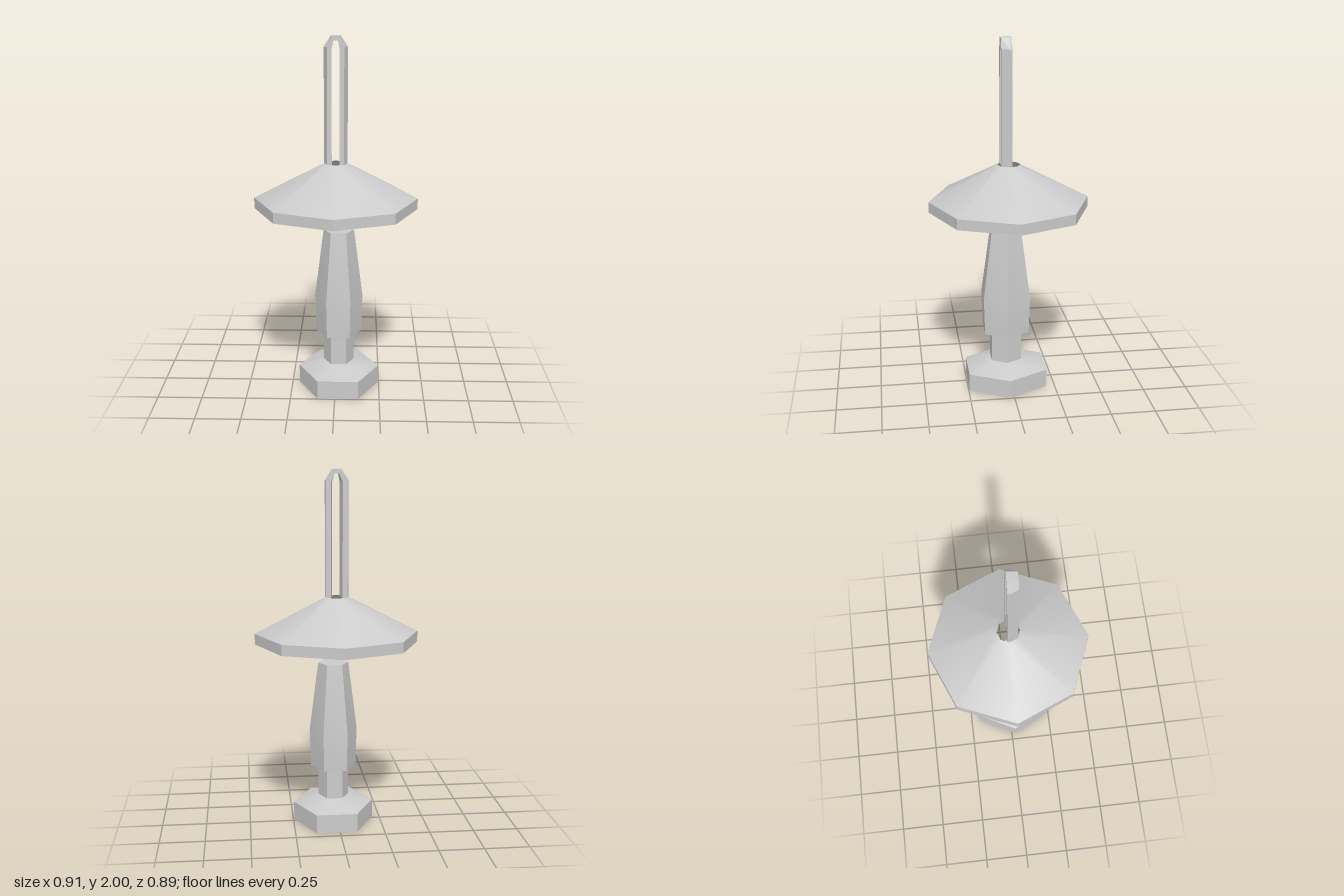
import * as THREE from 'three';
import { toCreasedNormals } from 'three/addons/utils/BufferGeometryUtils.js';

const grey = new THREE.MeshStandardMaterial({ color: 0xcccccc });
const greyFlat = new THREE.MeshStandardMaterial({ color: 0xcccccc, flatShading: true });

// Faceted turned part from [radius, height] pairs, sharp at its corners
function turned(name, profile, sides) {
  const points = profile.map(([r, y]) => new THREE.Vector2(r, y));
  const lathe = new THREE.LatheGeometry(points, sides, Math.PI / 2);
  const mesh = new THREE.Mesh(toCreasedNormals(lathe, Math.PI / 6), grey);
  mesh.name = name;
  return mesh;
}

// Slotted blade: a five-cornered section swept up one leg, over the tip and down the other
function slottedBlade() {
  const section = (back, side, front, inFront, inBack, yOut, yIn) => [
    [back, yOut, -0.012], [side, yOut, 0], [front, yOut, 0.046],
    [inFront, yIn, 0.046], [inBack, yIn, -0.012],
  ];
  const half = [
    section(0.06, 0.065, 0.046, 0.021, 0.032, 1.3, 1.3),
    section(0.06, 0.065, 0.046, 0.021, 0.032, 1.94, 1.93),
    section(0.024, 0.026, 0.02, 0.012, 0.014, 2.0, 1.975),
  ];
  const mirrored = half.map((ring) => ring.map(([x, y, z]) => [-x, y, z])).reverse();
  const rings = [...half, ...mirrored];
  const n = half[0].length;
  const index = [];
  for (let i = 0; i < rings.length - 1; i++) {
    for (let k = 0; k < n; k++) {
      const a = i * n + k, b = i * n + (k + 1) % n;
      index.push(a, a + n, b + n, a, b + n, b);
    }
  }
  // End caps
  const e = (rings.length - 1) * n;
  for (let k = 1; k < n - 1; k++) index.push(0, k, k + 1, e, e + k + 1, e + k);

  const geometry = new THREE.BufferGeometry();
  geometry.setAttribute('position', new THREE.Float32BufferAttribute(rings.flat(2), 3));
  geometry.setIndex(index);
  geometry.computeVertexNormals();
  const mesh = new THREE.Mesh(geometry, greyFlat);
  mesh.name = 'slottedBlade';
  return mesh;
}

export function createModel() {
  const model = new THREE.Group();
  model.name = 'slottedBladeWithHandle';

  // Six-sided handle, slightly off the axis and deeper than wide
  const handle = new THREE.Group();
  handle.name = 'handle';
  handle.position.set(0.0175, 0, 0.022);
  handle.scale.z = 1.13;
  handle.add(
    turned('foot', [[0, 0], [0.228, 0], [0.228, 0.105]], 6),
    turned('neck', [[0.228, 0.105], [0.087, 0.15], [0.087, 0.327]], 6),
    turned('grip', [[0, 0.327], [0.128, 0.327], [0.135, 0.54], [0.085, 0.93], [0, 0.93]], 6),
  );
  model.add(handle);

  // Eight-sided guard: hollow cone below, upright rim, sloping top around an open hole
  const guard = turned('guard', [[0.065, 1.305], [0.456, 1.045], [0.456, 1.105], [0.065, 1.305]], 8);
  guard.scale.z = 0.98;
  model.add(guard);

  model.add(slottedBlade());
  return model;
}
